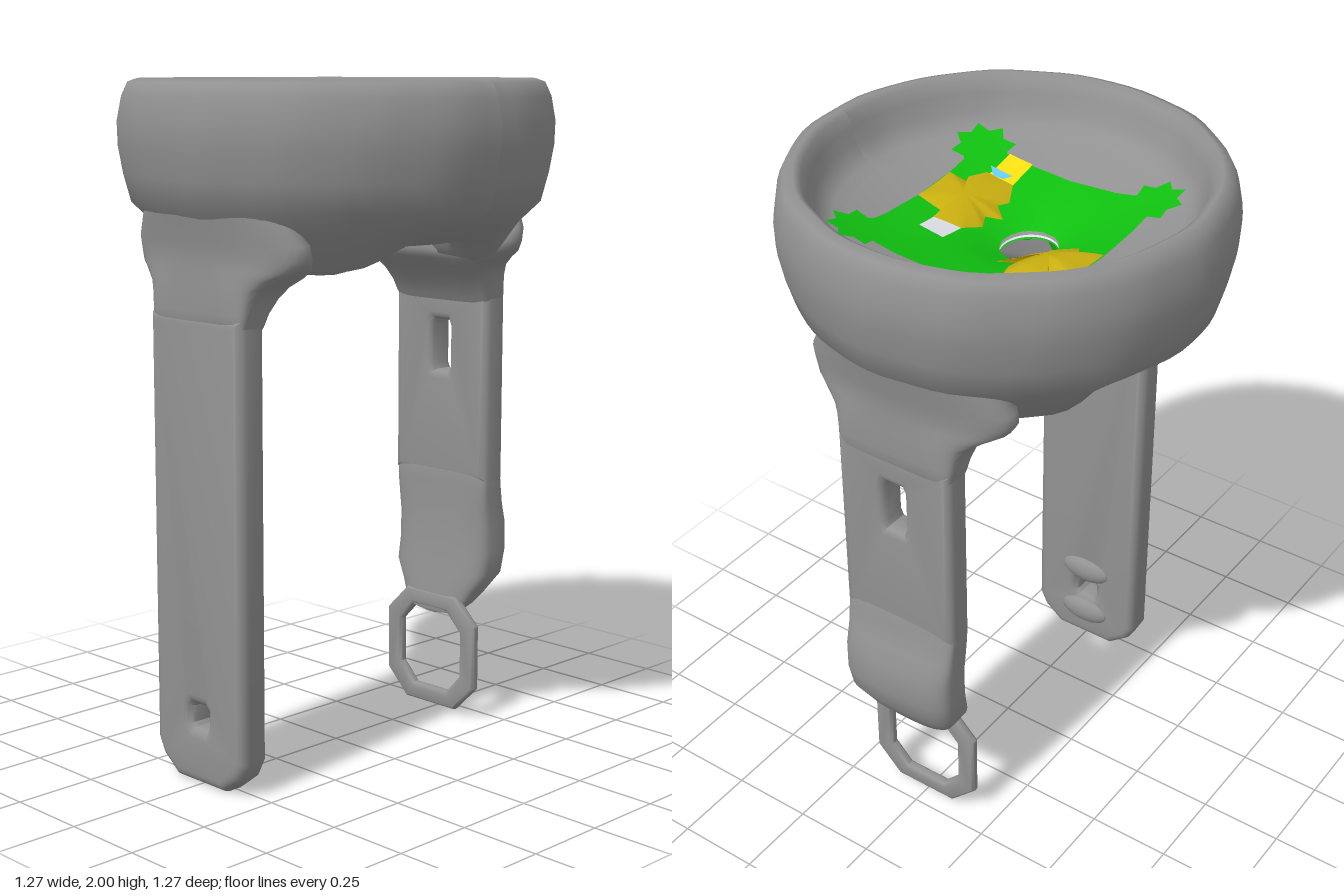
import * as THREE from 'three';
import { toCreasedNormals } from 'three/addons/utils/BufferGeometryUtils.js';

const paint = (color) => new THREE.MeshStandardMaterial({ color, side: THREE.DoubleSide });
const grey = paint(0x929292);
const HOLE = [-0.045, -0.04];

function add(parent, name, geometry, material = grey) {
  const mesh = new THREE.Mesh(geometry, material);
  mesh.name = name;
  parent.add(mesh);
  return mesh;
}

// Height of the dished floor, dipping around the off-centre drain hole
function floorY(x, z) {
  const d2 = (x - HOLE[0]) ** 2 + (z - HOLE[1]) ** 2;
  return 1.768 + 0.38 * (x * x + z * z) - 0.06 * Math.exp(-d2 / 0.02);
}

// Grid surface from rows of points, each row a closed loop
function loopSurface(rows) {
  const n = rows[0].length, index = [];
  for (let j = 0; j < rows.length - 1; j++) {
    for (let i = 0; i < n; i++) {
      const a = j * n + i, b = j * n + (i + 1) % n;
      index.push(a, a + n, b, b, a + n, b + n);
    }
  }
  const g = new THREE.BufferGeometry();
  g.setAttribute('position', new THREE.Float32BufferAttribute(rows.flat(2), 3));
  g.setIndex(index);
  g.computeVertexNormals();
  return g;
}

// Patch draped on the floor, from a centre (or hole of radius r0) out to an outline
function drape(outline, centre, r0, liftIn, liftOut) {
  const pts = [];
  outline.forEach(([x, z], i) => {
    const [x2, z2] = outline[(i + 1) % outline.length];
    for (let k = 0; k < 4; k++) pts.push([x + (x2 - x) * k / 4, z + (z2 - z) * k / 4]);
  });
  const rows = [];
  for (let j = 0; j <= 14; j++) {
    const t = j / 14;
    rows.push(pts.map(([x, z]) => {
      const a = Math.atan2(z - centre[1], x - centre[0]);
      const sx = centre[0] + r0 * Math.cos(a), sz = centre[1] + r0 * Math.sin(a);
      const px = sx + (x - sx) * t, pz = sz + (z - sz) * t;
      return [px, floorY(px, pz) + liftIn + (liftOut - liftIn) * t * t, pz];
    }).reverse());
  }
  return loopSurface(rows);
}

const star = (cx, cz, points, rOut, rIn) => Array.from({ length: points * 2 }, (_, i) => {
  const a = i / points * Math.PI, r = i % 2 ? rIn : rOut;
  return [cx + r * Math.cos(a), cz + r * Math.sin(a)];
});
const rect = (x0, z0, x1, z1) => [[x0, z0], [x1, z0], [x1, z1], [x0, z1]];

// Upward stack of rounded rectangles: [y, x0, x1, half depth, corner power]
function loft(sections) {
  return loopSurface(sections.map(([y, x0, x1, hz, p = 0.3]) =>
    Array.from({ length: 40 }, (_, i) => {
      const a = i / 40 * Math.PI * 2;
      const f = (v) => Math.sign(v) * Math.abs(v) ** p;
      return [(x0 + x1) / 2 + f(Math.cos(a)) * (x1 - x0) / 2, y, f(Math.sin(a)) * hz];
    })));
}

// Upright plate cut in the z-y plane, spanning x0 to x1, with one hole
function plate(outline, hole, x0, x1, bevel) {
  const vec = (list) => list.map(([a, b]) => new THREE.Vector2(a, b));
  const shape = new THREE.Shape(vec(outline));
  shape.holes.push(new THREE.Path(vec(hole)));
  const g = new THREE.ExtrudeGeometry(shape, {
    depth: x1 - x0 - 2 * bevel, bevelSize: bevel, bevelThickness: bevel,
    bevelOffset: -bevel, bevelSegments: 4,
  });
  g.rotateY(Math.PI / 2);
  g.translate(x0 + bevel, 0, 0);
  return toCreasedNormals(g, 0.7);
}

const octagon = (cy, hz, hy, cut = 0.55) => [
  [hz, cy - hy * cut], [hz, cy + hy * cut], [hz * cut, cy + hy], [-hz * cut, cy + hy],
  [-hz, cy + hy * cut], [-hz, cy - hy * cut], [-hz * cut, cy - hy], [hz * cut, cy - hy]];

function buildBowl(group) {
  // Thick shell whose lower lip sinks toward the legs
  const profile = [[0.31, 1.7], [0.325, 1.64], [0.315, 1.59], [0.34, 1.555], [0.4, 1.545], [0.46, 1.56],
    [0.53, 1.605], [0.595, 1.65], [0.617, 1.73], [0.632, 1.81], [0.635, 1.88], [0.622, 1.95], [0.603, 1.99],
    [0.575, 2], [0.555, 1.987], [0.54, 1.95], [0.525, 1.905], [0.505, 1.872], [0.48, 1.855], [0.44, 1.84]];
  const g = new THREE.LatheGeometry(profile.map(([r, y]) => new THREE.Vector2(r, y)), 72);
  const p = g.attributes.position;
  for (let i = 0; i < p.count; i++) {
    const x = p.getX(i), y = p.getY(i), z = p.getZ(i), a = Math.atan2(z, x), r = Math.hypot(x, z);
    const low = 1 - THREE.MathUtils.smoothstep(y, 1.55, 1.66);
    const side = THREE.MathUtils.smoothstep(Math.abs(x), 0.12, 0.3);
    const w = 1 + 0.003 * Math.sin(11 * a) + 0.003 * Math.sin(17 * a + y * 8);
    const lip = 0.075 * low * side * (1 - THREE.MathUtils.smoothstep(r, 0.45, 0.6));
    p.setXYZ(i, x * w, y - lip, z * w);
  }
  g.computeVertexNormals();
  add(group, 'bowlShell', g);

  const circle = (r) => Array.from({ length: 24 }, (_, i) => [r * Math.cos(i * Math.PI / 12), r * Math.sin(i * Math.PI / 12)]);
  add(group, 'bowlFloor', drape(circle(0.45), HOLE, 0.083, 0, 0));
  add(group, 'floorUnderside', drape(circle(0.335), HOLE, 0.083, -0.005, -0.12));
}

function buildBoard(group) {
  const green = paint(0x10c010), ochre = paint(0xc8ae10), white = paint(0xe0e0ea);
  add(group, 'board', drape(rect(-0.31, -0.305, 0.31, 0.305), HOLE, 0.083, 0.007, 0.007), green);
  for (const x of [-0.285, 0.285]) for (const z of [-0.285, 0.285]) {
    add(group, 'boardCorner', drape(star(x, z, 8, 0.095, 0.068), [x, z], 0, 0.012, 0.012), green);
  }
  add(group, 'rearComponent', drape([[-0.01, -0.305], [0.14, -0.305], [0.14, -0.23], [0.17, -0.25], [0.21, -0.22],
    [0.21, -0.13], [0.14, -0.1], [0.09, -0.1], [0.12, -0.05], [0.04, -0.05], [0, -0.08], [-0.02, -0.12],
    [-0.06, -0.12], [-0.05, -0.2], [-0.02, -0.22]], [0.07, -0.18], 0, 0.045, 0.012), ochre);
  add(group, 'frontComponent', drape([[-0.21, 0.13], [-0.15, 0.1], [-0.12, 0.12], [-0.09, 0.08], [-0.06, 0.12],
    [-0.02, 0.1], [0.04, 0.13], [0.06, 0.21], [0.02, 0.21], [0.01, 0.3], [-0.14, 0.3], [-0.14, 0.22],
    [-0.16, 0.25], [-0.21, 0.22]], [-0.07, 0.2], 0, 0.035, 0.013), ochre);
  add(group, 'yellowTerminal', drape(rect(-0.31, 0.13, -0.21, 0.21), [-0.26, 0.17], 0, 0.013, 0.013), paint(0xf8e010));
  add(group, 'blueLight', drape([[-0.215, 0.135], [-0.19, 0.15], [-0.185, 0.18], [-0.215, 0.21]], [-0.205, 0.17], 0, 0.036, 0.036), paint(0x66ccff));
  add(group, 'whiteTerminal', drape(rect(0.04, 0.13, 0.125, 0.21), [0.085, 0.17], 0, 0.012, 0.012), white);
  // Painted underside, seen through the lower opening
  add(group, 'undersideWhite', drape(star(0, 0, 9, 0.3, 0.24), HOLE, 0.083, -0.012, -0.125), white);
  add(group, 'undersideGreen', drape(star(0, 0, 8, 0.19, 0.16), HOLE, 0.083, -0.018, -0.08), green);
}

function buildLegs(group) {
  // Flared fillets joining both legs to the bowl
  const flare = [[1.31, 0.46, 0.54, 0.18], [1.335, 0.446, 0.552, 0.191], [1.37, 0.425, 0.553, 0.195, 0.35],
    [1.41, 0.39, 0.553, 0.205, 0.4], [1.44, 0.355, 0.552, 0.225, 0.5], [1.465, 0.32, 0.552, 0.265, 0.65],
    [1.49, 0.31, 0.552, 0.31, 0.85], [1.52, 0.315, 0.553, 0.33, 1], [1.56, 0.325, 0.558, 0.33, 1], [1.64, 0.36, 0.575, 0.28, 1]];
  for (const side of [-1, 1]) {
    const g = loft(flare);
    if (side < 0) g.rotateY(Math.PI);
    add(group, side < 0 ? 'rightLegFlare' : 'leftLegFlare', g);
  }

  // Plain leg with a rounded foot, a bored hole and two ridges beside it
  const top = [[0.19, 1.36], [-0.19, 1.36]];
  add(group, 'rightLeg', plate([[-0.19, 0.1], [-0.165, 0.05], [-0.1, 0], [0.1, 0], [0.165, 0.05], [0.19, 0.1], ...top],
    octagon(0.2, 0.035, 0.035, 0.7), -0.555, -0.453, 0.03));
  for (const y of [0.11, 0.285]) {
    const ridge = add(group, 'footRidge', new THREE.SphereGeometry(1, 16, 10));
    ridge.scale.set(0.028, 0.045, 0.09);
    ridge.position.set(-0.458, y, 0);
  }

  // Slotted leg, swelling at the ankle
  add(group, 'leftLeg', plate([[-0.19, 0.76], [0.19, 0.76], ...top], octagon(1.175, 0.035, 0.08, 0.8), 0.455, 0.55, 0.025));
  add(group, 'ankle', loft([[0.32, 0.425, 0.44, 0.02, 0.6], [0.33, 0.42, 0.455, 0.1, 0.6], [0.36, 0.42, 0.51, 0.125, 0.6],
    [0.4, 0.425, 0.55, 0.15, 0.6], [0.46, 0.433, 0.585, 0.187, 0.55], [0.53, 0.443, 0.603, 0.188, 0.55],
    [0.62, 0.45, 0.597, 0.188, 0.5], [0.68, 0.453, 0.572, 0.188, 0.4], [0.74, 0.455, 0.555, 0.189],
    [0.79, 0.456, 0.55, 0.189], [0.81, 0.465, 0.54, 0.18]]));

  // Open ring at the tip
  add(group, 'tipRing', plate(octagon(0.2, 0.185, 0.185), octagon(0.2, 0.125, 0.13), 0.418, 0.452, 0.014));
}

export function createModel() {
  const model = new THREE.Group();
  model.name = 'boardHolder';
  buildBowl(model);
  buildBoard(model);
  buildLegs(model);
  return model;
}
